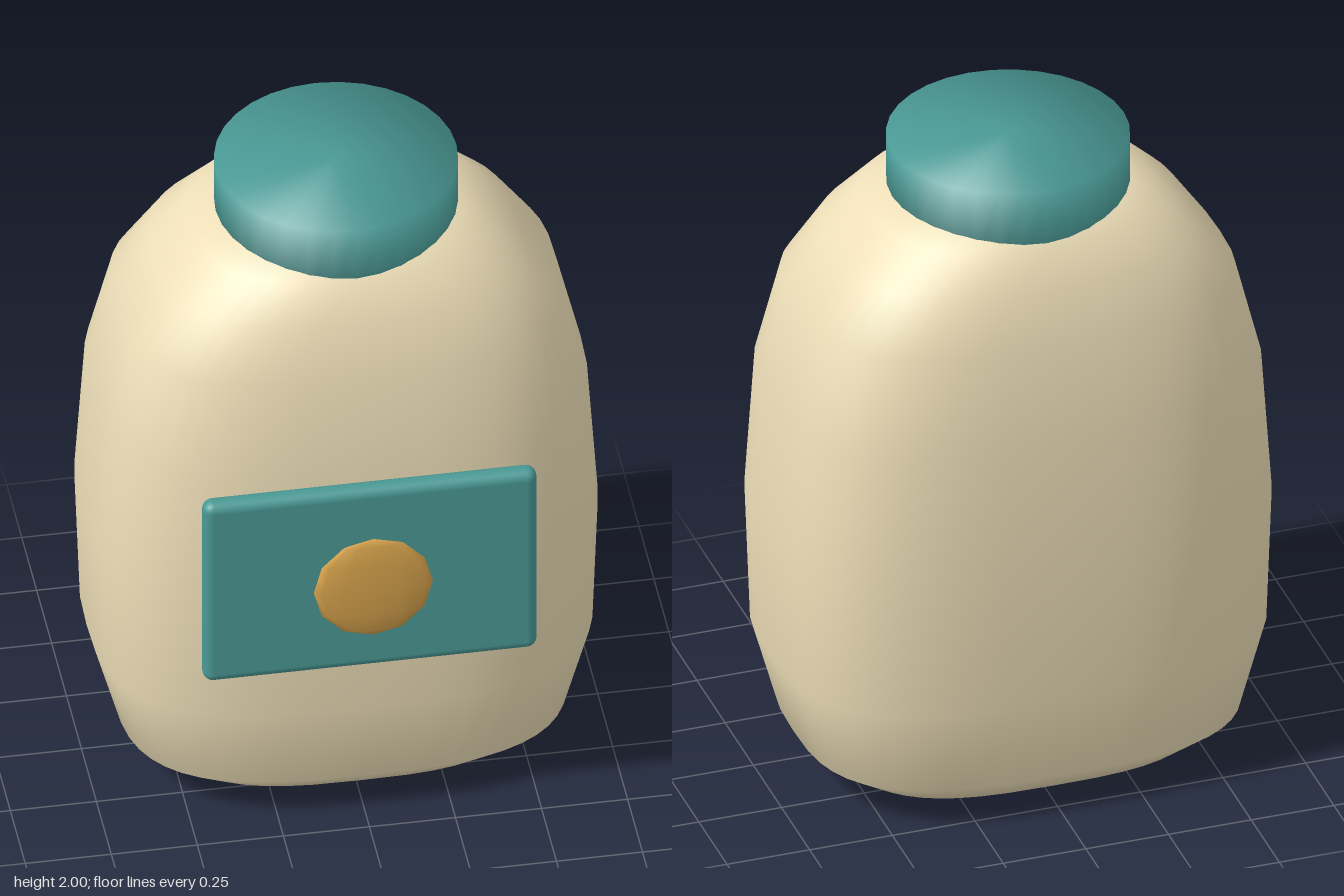
import * as THREE from 'three';
import { mergeVertices } from 'three/addons/utils/BufferGeometryUtils.js';
import { RoundedBoxGeometry } from 'three/addons/geometries/RoundedBoxGeometry.js';

const CENTER_Z = -0.06;
const SEGMENTS = 48;

// Body rings: height, half width, half depth, superellipse exponent
const RINGS = [
  [0.05, 0.53, 0.405, 3],
  [0.13, 0.65, 0.485, 3],
  [0.40, 0.725, 0.52, 3],
  [0.82, 0.74, 0.53, 3],
  [1.26, 0.71, 0.515, 3],
  [1.55, 0.64, 0.47, 2.9],
  [1.71, 0.53, 0.42, 2.7],
  [1.82, 0.42, 0.36, 2.4],
  [1.87, 0.31, 0.29, 2],
];

// Loft through the rings, closed by a fan at the bottom and the top
function bodyGeometry() {
  const positions = [];
  const index = [];
  for (const [y, a, b, n] of RINGS) {
    for (let i = 0; i < SEGMENTS; i++) {
      const t = (i / SEGMENTS) * Math.PI * 2;
      const c = Math.cos(t), s = Math.sin(t);
      positions.push(
        a * Math.sign(c) * Math.abs(c) ** (2 / n),
        y,
        b * Math.sign(s) * Math.abs(s) ** (2 / n),
      );
    }
  }
  const bottom = positions.length / 3;
  positions.push(0, 0, 0, 0, 1.89, 0);
  const last = (RINGS.length - 1) * SEGMENTS;
  for (let i = 0; i < SEGMENTS; i++) {
    const j = (i + 1) % SEGMENTS;
    for (let r = 0; r < last; r += SEGMENTS) {
      const p = r + i, q = r + j;
      index.push(p, p + SEGMENTS, q, q, p + SEGMENTS, q + SEGMENTS);
    }
    index.push(bottom, i, j, bottom + 1, last + j, last + i);
  }
  const geometry = new THREE.BufferGeometry();
  geometry.setAttribute('position', new THREE.Float32BufferAttribute(positions, 3));
  geometry.setIndex(index);
  geometry.computeVertexNormals();
  return geometry;
}

// Flat-topped cylinder whose normals blend softly over the rim
function capGeometry() {
  const geometry = new THREE.CylinderGeometry(0.35, 0.35, 0.24, 32);
  geometry.deleteAttribute('uv');
  geometry.deleteAttribute('normal');
  const merged = mergeVertices(geometry);
  merged.computeVertexNormals();
  return merged;
}

export function createModel() {
  const model = new THREE.Group();
  model.name = 'jar';

  const add = (name, geometry, color, x, y, z) => {
    const mesh = new THREE.Mesh(geometry, new THREE.MeshStandardMaterial({ color }));
    mesh.name = name;
    mesh.position.set(x, y, z);
    model.add(mesh);
    return mesh;
  };

  const teal = 0x4a9995;
  add('body', bodyGeometry(), 0xeedfb8, 0, 0, CENTER_Z);
  add('cap', capGeometry(), teal, 0, 1.88, CENTER_Z);

  // Front plate with a lens-shaped medallion floating just ahead of it
  add('frontPlate', new RoundedBoxGeometry(0.97, 0.64, 0.065, 3, 0.03), teal, 0, 0.92, 0.497);
  const medallion = add('medallion', new THREE.SphereGeometry(0.173, 12, 6), 0xd6a24c, 0, 0.92, 0.565);
  medallion.scale.z = 0.14;

  return model;
}
